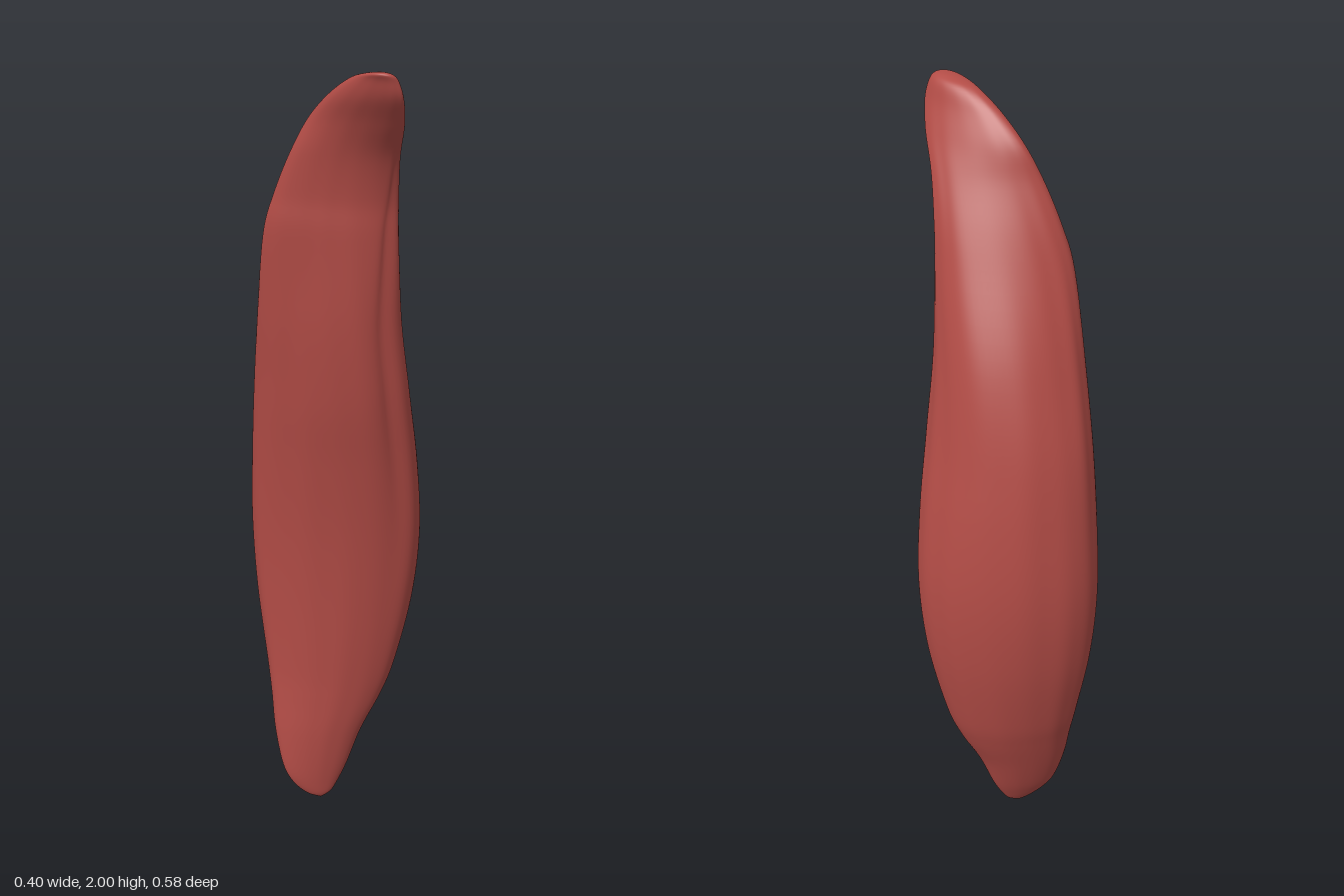
import * as THREE from 'three';

// Horizontal sections: y, xMin, xMax, zMin, zMax, skew (degrees between the x and z extremes)
const SECTIONS = [
  [0.0, -0.062, -0.052, -0.09, -0.08, 70],
  [0.015, -0.095, -0.025, -0.102, -0.074, 70],
  [0.05, -0.13, -0.002, -0.122, -0.07, 68],
  [0.1, -0.152, 0.022, -0.145, -0.065, 66],
  [0.2, -0.165, 0.06, -0.18, -0.055, 64],
  [0.3, -0.167, 0.11, -0.21, -0.043, 62],
  [0.4, -0.172, 0.145, -0.237, -0.03, 60],
  [0.6, -0.187, 0.185, -0.275, -0.005, 58],
  [0.8, -0.195, 0.197, -0.288, 0.02, 58],
  [1.0, -0.196, 0.179, -0.272, 0.047, 60],
  [1.2, -0.197, 0.145, -0.237, 0.077, 62],
  [1.4, -0.2, 0.11, -0.167, 0.097, 60],
  [1.6, -0.196, 0.085, -0.085, 0.117, 46],
  [1.7, -0.175, 0.075, -0.045, 0.132, 36],
  [1.8, -0.145, 0.062, 0.0, 0.172, 28],
  [1.88, -0.112, 0.05, 0.035, 0.235, 28],
  [1.94, -0.084, 0.035, 0.098, 0.278, 36],
  [1.98, -0.058, 0.022, 0.165, 0.286, 48],
  [1.995, -0.04, 0.008, 0.22, 0.285, 60],
  [2.0, -0.02, -0.01, 0.26, 0.27, 70],
];

const SIDES = 96;
const STEPS = 6;
const { smoothstep, degToRad } = THREE.MathUtils;

// Catmull-Rom blend of the section table
function sectionAt(s) {
  const n = SECTIONS.length - 1;
  const i = Math.min(Math.floor(s), n - 1);
  const f = s - i;
  const row = (k) => SECTIONS[Math.max(0, Math.min(n, k))];
  const [a, b, c, d] = [row(i - 1), row(i), row(i + 1), row(i + 2)];
  return b.map((_, k) => 0.5 * (2 * b[k] + (c[k] - a[k]) * f
    + (2 * a[k] - 5 * b[k] + 4 * c[k] - d[k]) * f * f
    + (3 * b[k] - a[k] - 3 * c[k] + d[k]) * f * f * f));
}

// Smooth bump around one direction of a section
function lobe(t, centre, width) {
  const d = Math.atan2(Math.sin(t - centre), Math.cos(t - centre)) / width;
  return Math.exp(-d * d);
}

function bellyGeometry() {
  const positions = [];
  const index = [];
  const rows = (SECTIONS.length - 1) * STEPS;
  for (let r = 0; r <= rows; r++) {
    const [y, x0, x1, z0, z1, skew] = sectionAt(r / STEPS);
    const phi = degToRad(skew);
    const ends = Math.sin(Math.PI * r / rows);
    // The upper part bows: full at the back, flat on the front right
    const bow = (0.25 + 0.75 * smoothstep(y, 1.1, 1.6)) * (1 - smoothstep(y, 1.82, 1.97)) * ends;
    // Shallow furrow along the front left edge
    const furrow = 0.06 * smoothstep(y, 0.6, 1.2) * (1 - smoothstep(y, 1.75, 1.93));
    for (let j = 0; j < SIDES; j++) {
      const t = (j / SIDES) * Math.PI * 2;
      const fibre = 0.006 * Math.sin(9 * t + 2 * y) + 0.005 * Math.sin(14 * t - 3 * y);
      const k = 1 + fibre * ends
        + 0.07 * ends * lobe(t, phi / 2, 0.5)
        + 0.4 * bow * lobe(t, phi / 2 - Math.PI / 2, 0.7)
        - 0.2 * bow * lobe(t, phi / 2 + Math.PI / 2, 0.7)
        - furrow * lobe(t, phi * 0.83, 0.13);
      positions.push(
        (x0 + x1) / 2 + k * Math.cos(t) * (x1 - x0) / 2,
        THREE.MathUtils.clamp(y, 0, 2),
        (z0 + z1) / 2 + k * Math.cos(t - phi) * (z1 - z0) / 2,
      );
      if (r < rows) {
        const a = r * SIDES + j;
        const b = r * SIDES + (j + 1) % SIDES;
        index.push(a, a + SIDES, b, b, a + SIDES, b + SIDES);
      }
    }
  }
  // Close both ends with small fans
  const top = rows * SIDES;
  for (let j = 1; j < SIDES - 1; j++) {
    index.push(0, j, j + 1, top, top + j + 1, top + j);
  }
  const geometry = new THREE.BufferGeometry();
  geometry.setAttribute('position', new THREE.Float32BufferAttribute(positions, 3));
  geometry.setIndex(index);
  geometry.computeVertexNormals();
  return geometry;
}

export function createModel() {
  const group = new THREE.Group();
  group.name = 'muscle';
  const muscleRed = new THREE.MeshStandardMaterial({ color: 0xb24c46 });
  muscleRed.name = 'muscleRed';
  const belly = new THREE.Mesh(bellyGeometry(), muscleRed);
  belly.name = 'muscleBelly';
  group.add(belly);
  return group;
}
